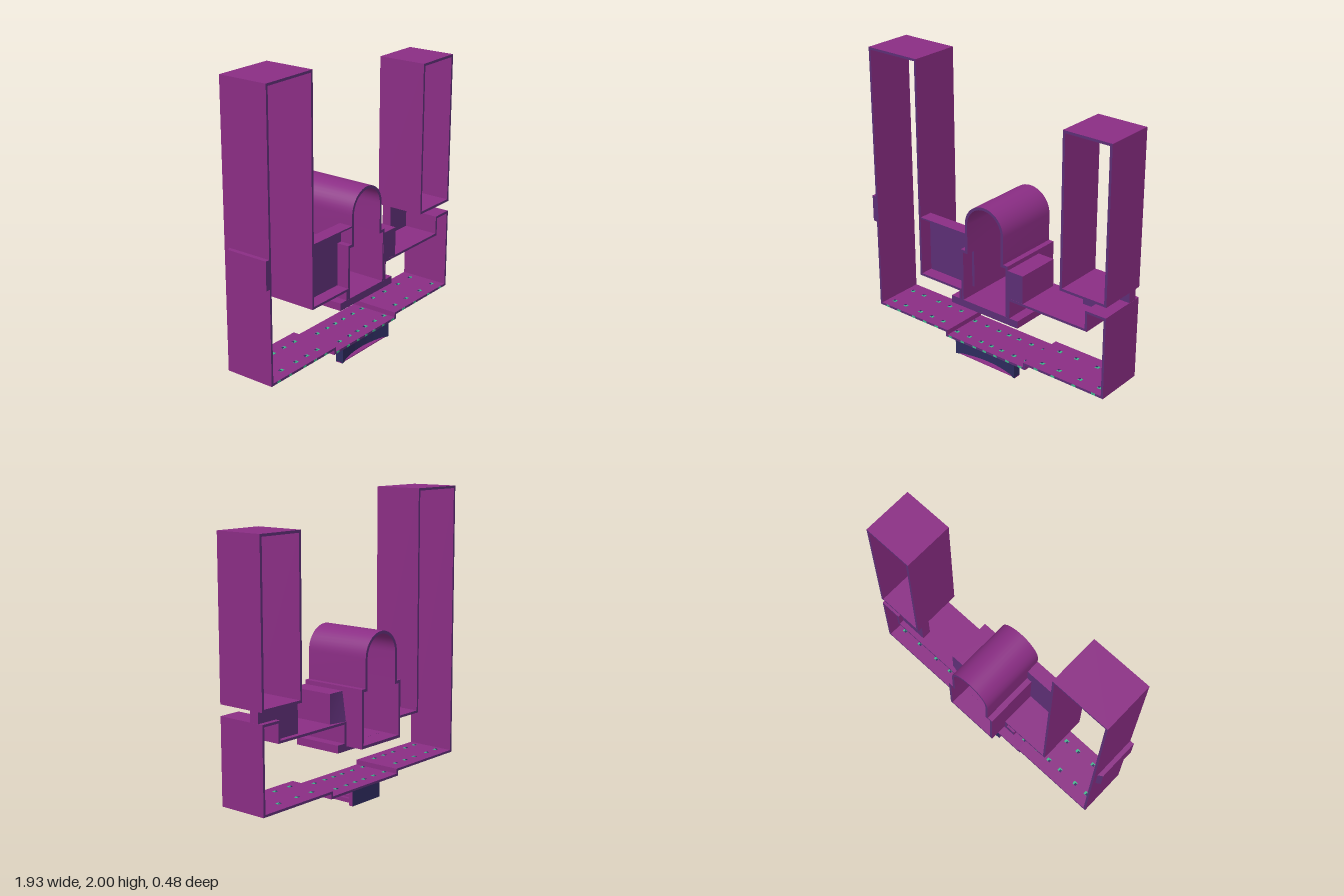
import * as THREE from 'three';
import { toCreasedNormals } from 'three/addons/utils/BufferGeometryUtils.js';

const material = (name, color) => Object.assign(new THREE.MeshStandardMaterial({ color }), { name });

export function createModel() {
  const model = new THREE.Group();
  const magenta = material('magenta', 0x8a2d84);
  const violet = material('violet', 0x5c2e74);
  const navy = material('navy', 0x2d2b5e);
  const green = material('green', 0x3fb58a);
  const BACK = -0.11, FRONT = 0.237;

  const add = (name, geometry, mat) => {
    const mesh = new THREE.Mesh(geometry, mat);
    mesh.name = name;
    model.add(mesh);
    return mesh;
  };

  // Box given by its limits; violet on the faces toward front and back
  const sheetFaces = [magenta, magenta, magenta, magenta, violet, violet];
  const box = (name, x0, x1, y0, y1, z0, z1, mat = sheetFaces) => {
    const g = new THREE.BoxGeometry(x1 - x0, y1 - y0, z1 - z0);
    g.translate((x0 + x1) / 2, (y0 + y1) / 2, (z0 + z1) / 2);
    return add(name, g, mat);
  };

  // Mitred offset of a polyline to one side
  const offset = (pts, d, closed) => pts.map((p, i) => {
    const n = pts.length;
    const prev = closed || i > 0 ? pts[(i + n - 1) % n] : null;
    const next = closed || i < n - 1 ? pts[(i + 1) % n] : null;
    const normal = (a, b) => new THREE.Vector2(a[1] - b[1], b[0] - a[0]).normalize();
    const a = prev ? normal(prev, p) : normal(p, next);
    const b = next ? normal(p, next) : a;
    const m = a.clone().add(b).normalize();
    return new THREE.Vector2(...p).addScaledVector(m, d / m.dot(a));
  });

  // Bent sheet: a thick polyline in the front plane, run along z
  const sheet = (name, pts, thick, closed = false, z0 = BACK, z1 = FRONT) => {
    const a = offset(pts, -thick / 2, closed), b = offset(pts, thick / 2, closed);
    const shape = new THREE.Shape(closed ? a : [...a, ...b.reverse()]);
    if (closed) shape.holes.push(new THREE.Path(b));
    const g = new THREE.ExtrudeGeometry(shape, { depth: z1 - z0, bevelEnabled: false });
    g.translate(0, 0, z0);
    return add(name, toCreasedNormals(g, 0.5), [violet, magenta]);
  };

  // Long bent frame: right step, stepped floor and tall tower
  sheet('frame', [
    [0.215, 0.42], [0.215, 0.565], [0.82, 0.565], [0.82, 0.69], [0.956, 0.69], [0.956, 0.14],
    [0.345, 0.14], [0.345, 0.106], [-0.32, 0.106], [-0.32, 0.14], [-0.932, 0.14],
    [-0.932, 1.992], [-0.537, 1.992], [-0.537, 0.5], [-0.192, 0.5], [-0.192, 0.42],
  ], 0.016);

  // Short tower
  sheet('shortTower', [[0.626, 0.779], [0.956, 0.779], [0.956, 1.803], [0.626, 1.803]], 0.017, true);

  // Arched tunnel with a wider lower chamber
  const arch = [];
  for (let i = 0; i <= 20; i++) {
    const t = (i / 20) * Math.PI;
    arch.push([0.013 + 0.148 * Math.cos(t), 0.985 + 0.148 * Math.sin(t)]);
  }
  sheet('archTunnel', [
    [-0.173, 0.423], [0.198, 0.423], [0.198, 0.787], [0.161, 0.787],
    ...arch, [-0.135, 0.787], [-0.173, 0.787],
  ], 0.019, true, -0.237, FRONT - 0.002);
  box('tunnelBase', -0.265, 0.29, 0.382, 0.433, BACK, FRONT);

  // Left pocket: overhanging ledge and recessed panel
  box('pocketLedge', -0.53, -0.145, 0.91, 0.92, 0.14, FRONT - 0.002);
  box('pocketPanel', -0.53, -0.145, 0.5, 0.915, 0.14, 0.148);

  // Right block with a slanted back
  const block = box('sideBlock', 0.2, 0.33, 0.565, 0.768, -0.08, FRONT - 0.001);
  const bp = block.geometry.attributes.position;
  for (let i = 0; i < bp.count; i++) {
    if (bp.getZ(i) < 0 && bp.getX(i) < 0.25 && bp.getY(i) < 0.6) bp.setZ(i, BACK);
  }
  block.geometry.computeVertexNormals();

  // Panels joining the short tower to the step
  box('towerPanel', 0.62, 0.825, 0.565, 0.778, -0.075, -0.01);
  box('towerPanelEnd', 0.825, 0.963, 0.69, 0.778, -0.075, -0.01);

  // Knob on the outer wall, chamfered at the back
  const knob = box('wallKnob', -0.97, -0.938, 0.768, 0.955, -0.075, FRONT);
  const kp = knob.geometry.attributes.position;
  for (let i = 0; i < kp.count; i++) {
    if (kp.getZ(i) < 0 && kp.getX(i) < -0.95) kp.setZ(i, -0.055);
  }
  knob.geometry.computeVertexNormals();

  // Green studs through the stepped floor, in two rows, with front inlays
  const stud = (x, y) => {
    for (const z of [-0.02, 0.165]) {
      box('floorStud', x - 0.014, x + 0.014, y - 0.01, y + 0.01, z - 0.012, z + 0.012, green);
      box('studSlot', x - 0.014, x, y - 0.0105, y + 0.0105, z - 0.012, z + 0.004, navy);
    }
    box('frontInlay', x - 0.015, x + 0.015, y - 0.007, y + 0.007, FRONT - 0.003, FRONT + 0.001, green);
  };
  [-0.87, -0.765, -0.625, -0.52, -0.415, 0.44, 0.575, 0.74, 0.89].forEach((x) => stud(x, 0.14));
  [-0.29, -0.18, -0.075, 0.012, 0.1, 0.205, 0.31].forEach((x) => stud(x, 0.106));

  // Curved front apron beneath the floor
  const front = [], rear = [];
  for (let i = 0; i <= 8; i++) {
    const u = i / 4 - 1;
    const x = 0.0125 + 0.2525 * u;
    front.push(new THREE.Vector2(x, -(0.192 + 0.045 * u * u)));
    rear.push(new THREE.Vector2(x, -0.18));
  }
  const apron = new THREE.ExtrudeGeometry(new THREE.Shape([...front, ...rear.reverse()]),
    { depth: 0.1, bevelEnabled: false });
  apron.rotateX(-Math.PI / 2);
  add('apron', apron, [magenta, navy]);
  box('apronLip', -0.24, 0.265, 0, 0.006, 0.18, FRONT - 0.01, magenta);

  // Back foot and the bars that tie it to the apron
  box('backFoot', -0.13, 0.145, 0, 0.1, BACK, -0.08, [magenta, magenta, magenta, magenta, navy, navy]);
  for (let i = 0; i < 5; i++) {
    const x = -0.1 + i * 0.055;
    box('tieBar', x - 0.01, x + 0.01, 0.012, 0.04, -0.08, 0.185);
  }

  return model;
}
